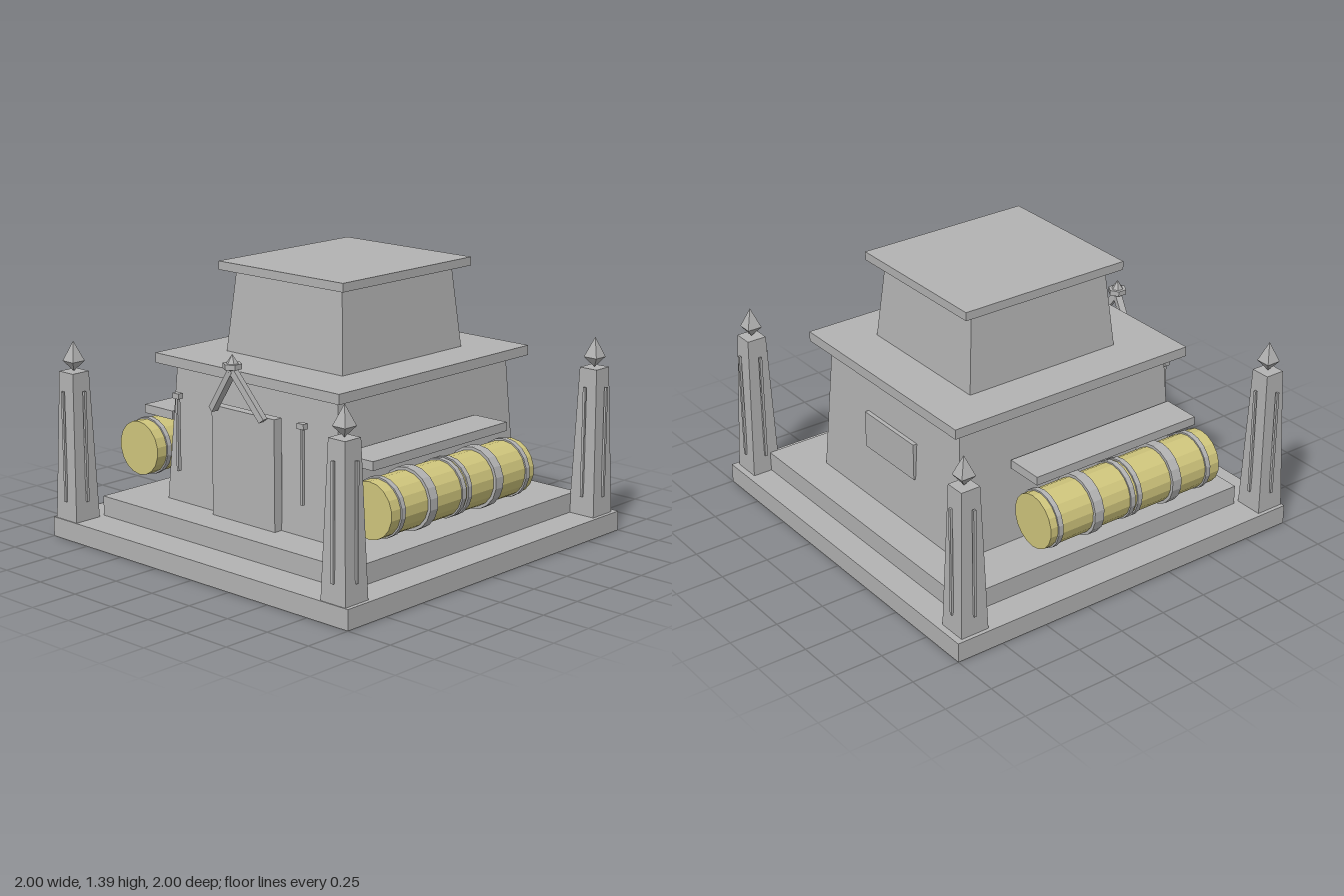
import * as THREE from 'three';

export function createModel() {
  const model = new THREE.Group();
  model.name = 'shrine';
  const stone = new THREE.MeshStandardMaterial({ color: 0xb2b2b2, side: THREE.DoubleSide });
  stone.name = 'grey stone';
  const straw = new THREE.MeshStandardMaterial({ color: 0xcfc57c });
  straw.name = 'straw yellow';

  const add = (parent, name, geometry, material = stone) => {
    // separate the faces so every facet is flat
    const flat = geometry.index ? geometry.toNonIndexed() : geometry;
    flat.computeVertexNormals();
    const mesh = new THREE.Mesh(flat, material);
    mesh.name = name;
    parent.add(mesh);
    return mesh;
  };

  // box between two limits on each axis; the top can be drawn in by a taper
  const block = (x0, x1, y0, y1, z0, z1, taper = 0, open = false) => {
    const g = new THREE.BoxGeometry(x1 - x0, y1 - y0, z1 - z0);
    const p = g.attributes.position;
    for (let i = 0; i < p.count; i++) {
      if (p.getY(i) > 0) {
        p.setX(i, p.getX(i) - Math.sign(p.getX(i)) * taper);
        p.setZ(i, p.getZ(i) - Math.sign(p.getZ(i)) * taper);
      }
    }
    if (open) { // leave out the bottom face
      g.setIndex(Array.from(g.index.array).filter((_, i) => i < 18 || i >= 24));
      g.clearGroups();
    }
    return g.translate((x0 + x1) / 2, (y0 + y1) / 2, (z0 + z1) / 2);
  };

  // stepped platform, hollow underneath
  add(model, 'base', block(-1, 1, 0, 0.1, -1, 1, 0, true));
  add(model, 'step', block(-0.835, 0.835, 0.1, 0.2, -0.865, 0.813));

  // two sloping storeys with slab roofs
  add(model, 'lowerWalls', block(-0.577, 0.577, 0.2, 0.89, -0.69, 0.61, 0.04));
  add(model, 'lowerRoof', block(-0.615, 0.615, 0.89, 0.94, -0.73, 0.645));
  add(model, 'upperWalls', block(-0.388, 0.388, 0.94, 1.345, -0.483, 0.378, 0.037));
  add(model, 'upperRoof', block(-0.413, 0.413, 1.345, 1.388, -0.52, 0.403));

  // door and rear panel
  add(model, 'door', block(-0.21, 0.21, 0.2, 0.75, 0.605, 0.655));
  add(model, 'rearPanel', block(-0.205, 0.205, 0.468, 0.658, -0.685, -0.655));

  // gable over the door
  const gable = new THREE.Group();
  gable.name = 'doorGable';
  model.add(gable);
  for (const s of [-1, 1]) {
    const foot = new THREE.Vector3(s * 0.168, 0.742, 0.685);
    const apex = new THREE.Vector3(0, 0.965, 0.715);
    const rafter = add(gable, 'rafter', new THREE.BoxGeometry(0.034, 0.032, foot.distanceTo(apex)));
    rafter.position.copy(foot).lerp(apex, 0.5);
    rafter.lookAt(apex);
  }
  const finial = new THREE.LatheGeometry([[0, 0.945], [0.026, 0.972], [0.047, 0.972], [0.047, 0.998],
    [0.03, 0.998], [0, 1.042]].map(([r, y]) => new THREE.Vector2(r, y)), 6);
  add(gable, 'gableFinial', finial).position.z = 0.717;

  for (const s of [-1, 1]) {
    // slim torch beside the door
    const tx = s * 0.419;
    add(model, 'torchStem', block(tx - 0.007, tx + 0.007, 0.385, 0.752, 0.672, 0.69));
    add(model, 'torchHead', block(tx - 0.021, tx + 0.021, 0.75, 0.777, 0.667, 0.697));

    // side ledge
    const shelf = add(model, 'sideLedge', block(-0.1, 0.1, 0.597, 0.641, -0.38, 0.583));
    shelf.position.x = s * 0.668;

    // banded roll lying under the ledge
    const roll = new THREE.Group();
    roll.name = 'bandedRoll';
    roll.position.set(s * 0.778, 0.42, 0);
    model.add(roll);
    const drum = (name, r, z, length, material) => add(roll, name,
      new THREE.CylinderGeometry(r, r, length, 18).rotateX(Math.PI / 2).translate(0, 0, z), material);
    drum('rollBody', 0.138, 0.105, 1.03, straw);
    for (const z of [0.545, 0.118, 0.076, -0.356]) drum('thinBand', 0.146, z, 0.027);
    for (const z of [0.342, -0.133]) drum('wideBand', 0.153, z, 0.054);

    // corner obelisks
    for (const z of [0.92, -0.892]) {
      const post = new THREE.Group();
      post.name = 'cornerObelisk';
      post.position.set(s * 0.905, 0, z);
      model.add(post);
      add(post, 'obeliskFoot', block(-0.075, 0.075, 0.001, 0.1, -0.075, 0.075, 0, true));
      add(post, 'obeliskShaft', block(-0.075, 0.075, 0.1, 0.848, -0.075, 0.075, 0.024));
      for (let k = 0; k < 4; k++) {
        const rib = add(post, 'obeliskRib', block(-0.007, 0.007, 0.195, 0.757, 0.069, 0.081));
        rib.rotation.y = k * Math.PI / 2;
      }
      const tip = new THREE.LatheGeometry([[0, 0.848], [0.014, 0.862], [0.054, 0.9], [0, 1]]
        .map(([r, y]) => new THREE.Vector2(r, y)), 4);
      add(post, 'obeliskTip', tip.rotateY(Math.PI / 4));
    }
  }
  return model;
}
